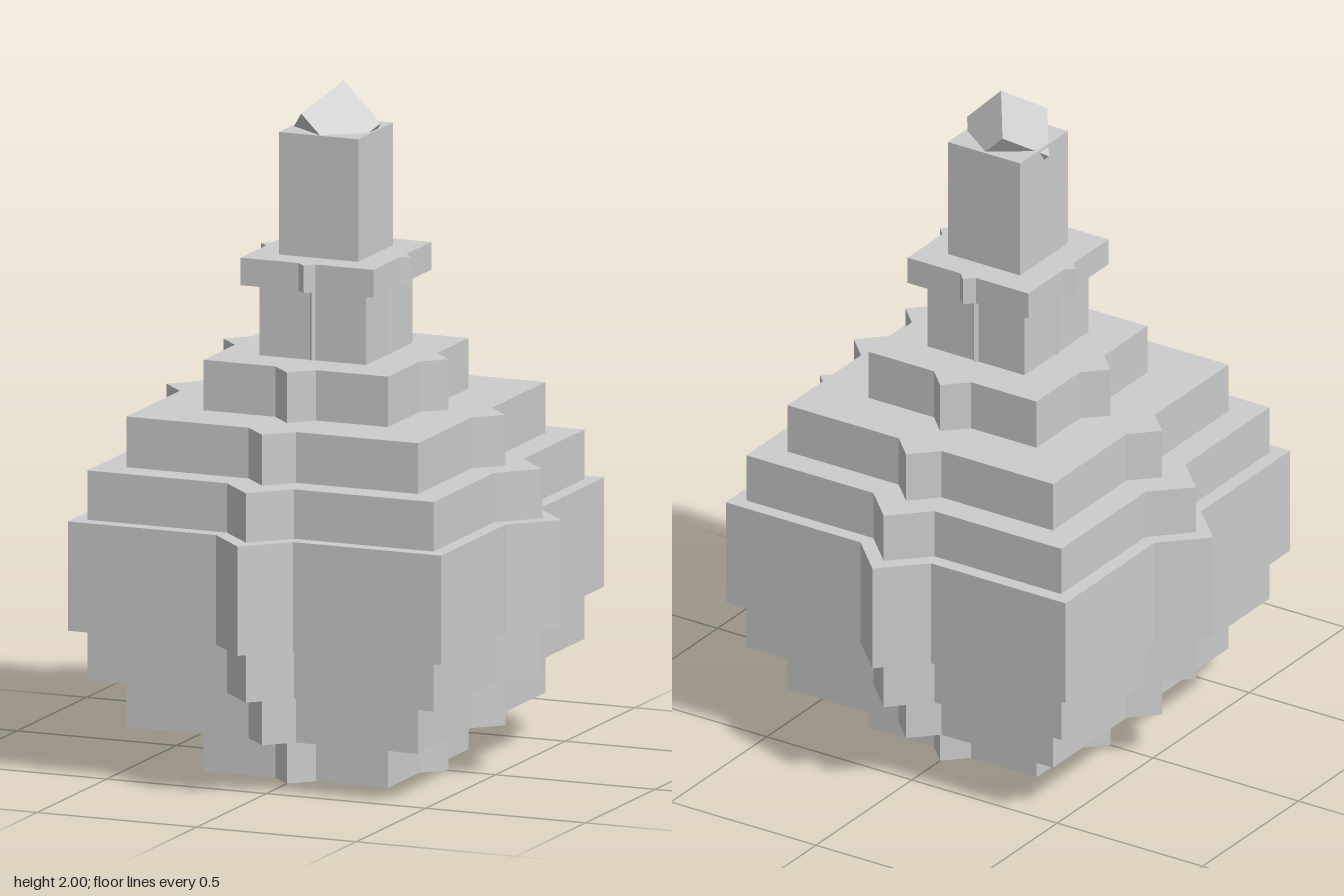
import * as THREE from 'three';

const stone = new THREE.MeshStandardMaterial({ color: 0xcccccc });
stone.name = 'pale stone';

// Square slab of half-width a, with a pointed rib reaching out to d on each side
function ribbedSlab(name, y0, y1, a, d) {
  const points = [];
  const w = d - a;
  for (let i = 0; i < 4; i++) {
    const turn = (i * Math.PI) / 2;
    for (const [x, y] of [[a, -a], [a, -w], [d, 0], [a, w]]) {
      points.push(new THREE.Vector2(x, y).rotateAround(new THREE.Vector2(), turn));
    }
  }
  const geometry = new THREE.ExtrudeGeometry(new THREE.Shape(points), {
    depth: y1 - y0,
    bevelEnabled: false,
  });
  geometry.rotateX(-Math.PI / 2);
  const mesh = new THREE.Mesh(geometry, stone);
  mesh.name = name;
  mesh.position.y = y0;
  return mesh;
}

export function createModel() {
  const model = new THREE.Group();
  model.name = 'steppedTower';

  // Stepped body, neck and collar: name, bottom, top, half-width, rib reach
  const tiers = [
    ['foot', 0, 0.148, 0.289, 0.353],
    ['lowerStep', 0.148, 0.296, 0.457, 0.531],
    ['lowerShoulder', 0.296, 0.445, 0.542, 0.647],
    ['belly', 0.445, 0.766, 0.585, 0.706],
    ['upperShoulder', 0.766, 0.911, 0.542, 0.647],
    ['upperStep', 0.911, 1.06, 0.457, 0.531],
    ['crownStep', 1.06, 1.208, 0.289, 0.353],
    ['neck', 1.208, 1.418, 0.167, 0.176],
    ['collar', 1.418, 1.499, 0.208, 0.235],
  ];
  for (const tier of tiers) model.add(ribbedSlab(...tier));

  // Plain square spire
  const spire = new THREE.Mesh(new THREE.BoxGeometry(0.249, 0.36, 0.249), stone);
  spire.name = 'spire';
  spire.position.y = 1.679;
  model.add(spire);

  // Tilted cube sunk into the top of the spire
  const finial = new THREE.Mesh(new THREE.BoxGeometry(0.165, 0.165, 0.165), stone);
  finial.name = 'finial';
  finial.position.y = 1.859;
  finial.rotation.set(Math.PI / 4, 0, -Math.PI / 4, 'ZYX');
  model.add(finial);

  return model;
}
